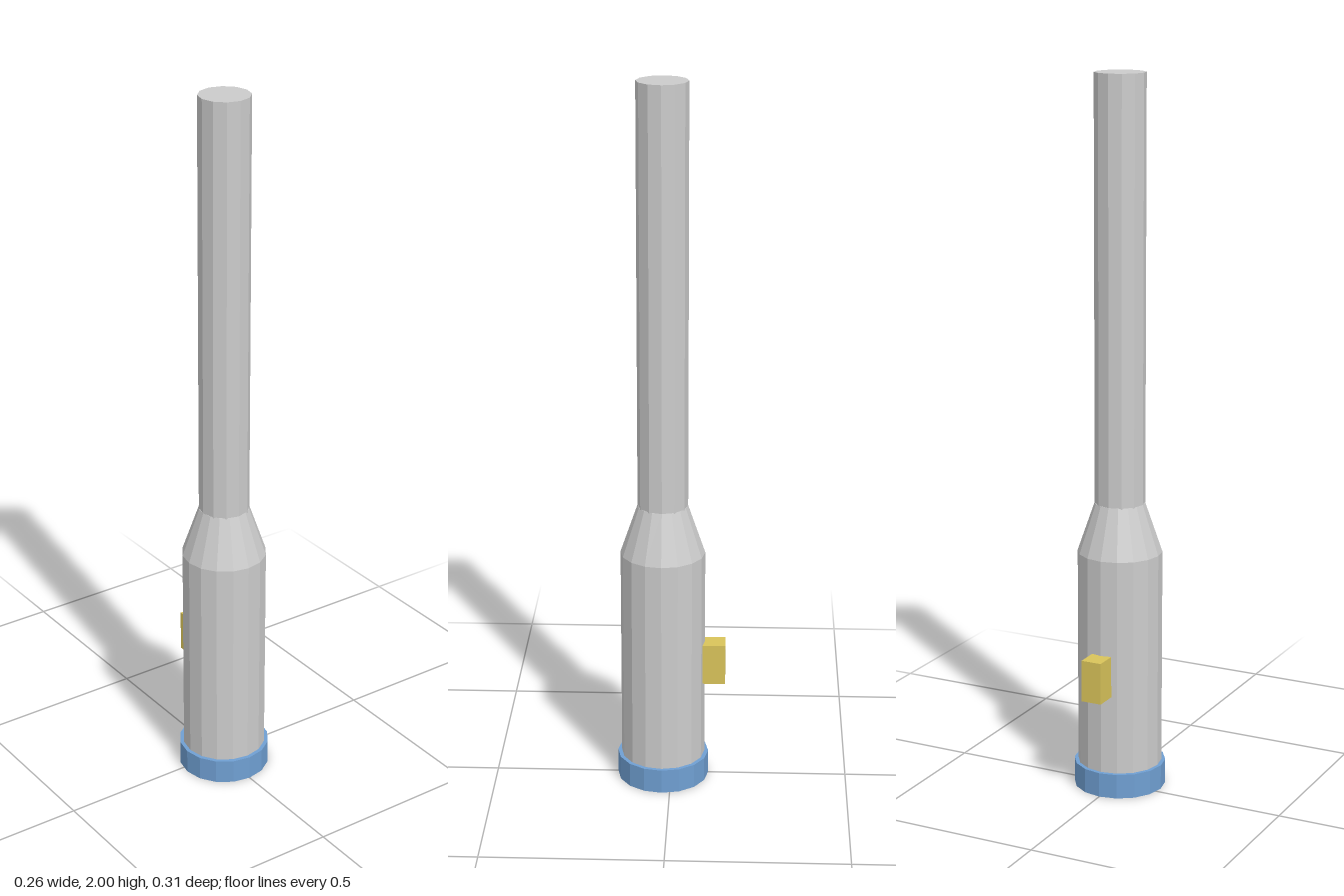
import * as THREE from 'three';

const AXIS_Z = 0.023; // the round parts share an axis slightly forward of centre

function addPart(group, name, geometry, color, y, z = AXIS_Z) {
  const material = new THREE.MeshStandardMaterial({ color, flatShading: true });
  const mesh = new THREE.Mesh(geometry, material);
  mesh.name = name;
  mesh.position.set(0, y, z);
  group.add(mesh);
}

// Cylinder or cone spanning y0 to y1
function addRound(group, name, color, rTop, rBottom, y0, y1, sides) {
  const geometry = new THREE.CylinderGeometry(rTop, rBottom, y1 - y0, sides);
  addPart(group, name, geometry, color, (y0 + y1) / 2);
}

export function createModel() {
  const group = new THREE.Group();
  group.name = 'handheldTool';
  const grey = 0xcccccc;

  // Handle with its end cap
  addRound(group, 'endCap', 0x6f9fd2, 0.129, 0.129, 0, 0.07, 16);
  addRound(group, 'handle', grey, 0.118, 0.118, 0.03, 0.685, 16);

  // Taper into the long shaft
  addRound(group, 'taper', grey, 0.07, 0.118, 0.685, 0.825, 16);
  addRound(group, 'shaft', grey, 0.07, 0.07, 0.82, 2, 12);

  // Switch on the back of the handle
  addPart(group, 'switch', new THREE.BoxGeometry(0.059, 0.118, 0.067), 0xd9c45a, 0.354, -0.1195);

  return group;
}
